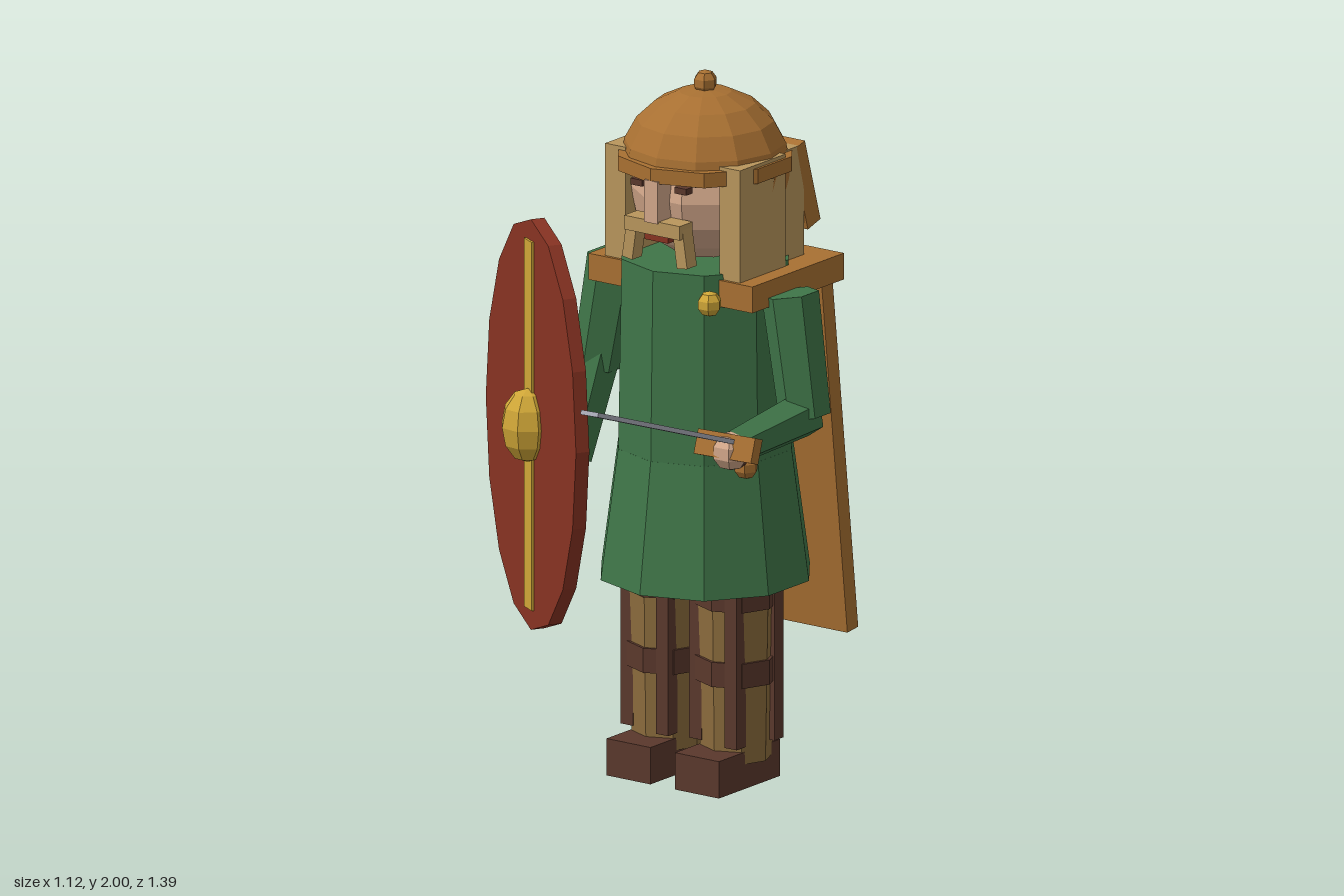
import * as THREE from 'three';

const mat = (name, color, side = THREE.FrontSide) => {
  const m = new THREE.MeshStandardMaterial({ color, flatShading: true, side });
  m.name = name;
  return m;
};

export function createModel() {
  const M = {
    tunic: mat('green cloth', 0x3f7548),
    bronze: mat('bronze brown', 0xa87032, THREE.DoubleSide),
    hair: mat('straw hair', 0xb9965c),
    skin: mat('skin', 0xd2a78a),
    trousers: mat('trouser cloth', 0x8a6b3c),
    leather: mat('dark leather', 0x5a382c),
    red: mat('shield red', 0x883322),
    gold: mat('gold', 0xcfa637),
    steel: mat('steel', 0xabacb8),
  };
  const model = new THREE.Group();
  model.name = 'warrior';
  const CX = 0.13, CZ = -0.36;

  const add = (name, geo, m, x = 0, y = 0, z = 0, parent = model) => {
    const mesh = new THREE.Mesh(geo, m);
    mesh.name = name;
    mesh.position.set(x, y, z);
    parent.add(mesh);
    return mesh;
  };
  const group = (name, x, y, z, parent = model) => {
    const g = new THREE.Group();
    g.name = name;
    g.position.set(x, y, z);
    parent.add(g);
    return g;
  };
  const box = (w, h, d) => new THREE.BoxGeometry(w, h, d);
  const cyl = (top, bottom, h, n) => new THREE.CylinderGeometry(top, bottom, h, n);
  const ball = (r, w, h) => new THREE.SphereGeometry(r, w, h);
  // Tapered limb running from point a to point b
  const limb = (name, a, b, ra, rb, m, sides = 6) => {
    const A = new THREE.Vector3(...a), B = new THREE.Vector3(...b);
    const dir = B.clone().sub(A);
    const mesh = add(name, cyl(rb, ra, dir.length(), sides), m);
    mesh.position.copy(A).lerp(B, 0.5);
    mesh.quaternion.setFromUnitVectors(new THREE.Vector3(0, 1, 0), dir.normalize());
    return mesh;
  };

  // Legs with straps, bands and boots
  for (const side of [-1, 1]) {
    const leg = group(side > 0 ? 'leftLeg' : 'rightLeg', CX + side * 0.117, 0, -0.345);
    add('trouserLeg', cyl(0.11, 0.1, 0.54, 8), M.trousers, 0, 0.34, 0, leg);
    add('boot', box(0.15, 0.105, 0.28), M.leather, 0, 0.0525, 0.04, leg);
    for (const y of [0.325, 0.54]) {
      add('legBand', cyl(0.114, 0.114, 0.07, 8), M.leather, 0, y, 0, leg);
    }
    for (let k = 0; k < 4; k++) {
      const a = 0.61 + k * Math.PI / 2;
      add('legStrap', box(0.042, 0.47, 0.042), M.leather,
        Math.sin(a) * 0.1, 0.355, Math.cos(a) * 0.1, leg);
    }
  }

  // Tunic
  add('tunicBody', cyl(0.24, 0.25, 0.56, 10), M.tunic, CX, 1.2, CZ);
  add('tunicSkirt', cyl(0.25, 0.3, 0.37, 10), M.tunic, CX, 0.755, CZ);

  // Cloak: shoulder collar, hanging sheet and brooch
  add('cloakCollar', box(0.56, 0.075, 0.42), M.bronze, CX, 1.4275, -0.41);
  const cloak = add('cloak', box(0.545, 1.05, 0.05), M.bronze, CX, 0.9, -0.61);
  cloak.rotation.x = 0.115;
  add('brooch', ball(0.036, 6, 5), M.gold, 0.305, 1.412, -0.145);

  // Head and face
  const head = add('head', ball(0.205, 10, 8), M.skin, CX, 1.67, CZ);
  head.scale.y = 0.97;
  add('nose', box(0.045, 0.12, 0.08), M.skin, CX, 1.68, -0.15);
  add('mouth', box(0.08, 0.02, 0.04), M.red, CX, 1.572, -0.155);
  add('moustache', box(0.19, 0.04, 0.06), M.hair, CX, 1.605, -0.145);
  for (const s of [-1, 1]) {
    add('eye', box(0.04, 0.018, 0.03), M.leather, CX + s * 0.075, 1.715, -0.16);
    const tip = add('moustacheTip', box(0.035, 0.12, 0.045), M.hair, CX + s * 0.085, 1.56, -0.15);
    tip.rotation.z = s * 0.15;
    add('sideHair', box(0.07, 0.32, 0.21), M.hair, CX + s * 0.195, 1.625, -0.315);
  }
  add('backHair', box(0.4, 0.315, 0.13), M.hair, CX, 1.6225, -0.48);

  // Helmet: dome, rear skirt, rim, knob and neck guard
  const dome = add('helmetDome',
    new THREE.SphereGeometry(0.235, 12, 5, 0, Math.PI * 2, 0, Math.PI / 2),
    M.bronze, CX, 1.73, CZ);
  dome.scale.y = 0.94;
  add('helmetRear',
    new THREE.SphereGeometry(0.235, 6, 2, 0, Math.PI, Math.PI / 2, 0.5),
    M.bronze, CX, 1.73, CZ).rotation.y = -Math.PI;
  // The rear shell is turned so that it lies on the back half
  model.children[model.children.length - 1].rotation.y = Math.PI;
  add('helmetRim', cyl(0.25, 0.25, 0.042, 10), M.bronze, CX, 1.754, CZ);
  add('helmetKnob', ball(0.035, 6, 5), M.bronze, CX, 1.965, CZ);
  const guard = add('neckGuard', box(0.4, 0.25, 0.06), M.bronze, CX, 1.66, -0.555);
  guard.rotation.x = 0.29;

  // Sword arm
  limb('leftUpperArm', [0.435, 1.42, -0.34], [0.485, 1.08, -0.34], 0.08, 0.072, M.tunic);
  limb('leftForearm', [0.48, 1.085, -0.35], [0.46, 1.05, -0.04], 0.068, 0.052, M.tunic);
  add('leftHand', ball(0.055, 6, 5), M.skin, 0.46, 1.045, -0.035);

  // Sword, pointing forward and slightly up
  const sword = group('sword', 0.462, 1.075, -0.01);
  sword.rotation.order = 'YXZ';
  sword.rotation.set(-0.34, 0.078, 0);
  add('blade', box(0.056, 0.013, 0.745), M.steel, 0, 0.005, 0.373, sword);
  add('crossGuard', box(0.185, 0.07, 0.04), M.bronze, 0, -0.01, -0.015, sword);
  limb('swordGrip', [0.46, 1.06, -0.02], [0.46, 0.99, -0.1], 0.02, 0.02, M.leather);
  add('pommel', ball(0.036, 6, 5), M.bronze, 0.46, 0.985, -0.105);

  // Shield arm
  limb('rightUpperArm', [-0.16, 1.42, -0.34], [-0.22, 1.11, -0.34], 0.08, 0.072, M.tunic);
  limb('rightForearm', [-0.22, 1.15, -0.34], [-0.235, 0.86, -0.24], 0.07, 0.058, M.tunic);
  add('rightHand', ball(0.05, 6, 5), M.skin, -0.237, 0.84, -0.232);

  // Oval shield with stripe and boss
  const shield = group('shield', -0.29, 0.965, -0.155);
  shield.rotation.y = -0.52;
  const plate = add('shieldPlate', cyl(1, 1, 0.04, 16), M.red, 0, 0, 0, shield);
  plate.rotation.x = Math.PI / 2;
  plate.scale.set(0.31, 1, 0.585);
  add('shieldStripe', box(0.053, 1.05, 0.008), M.gold, -0.005, 0, 0.023, shield);
  const boss = add('shieldBoss', ball(0.076, 8, 6), M.gold, 0, 0, 0.03, shield);
  boss.scale.y = 1.38;

  return model;
}
